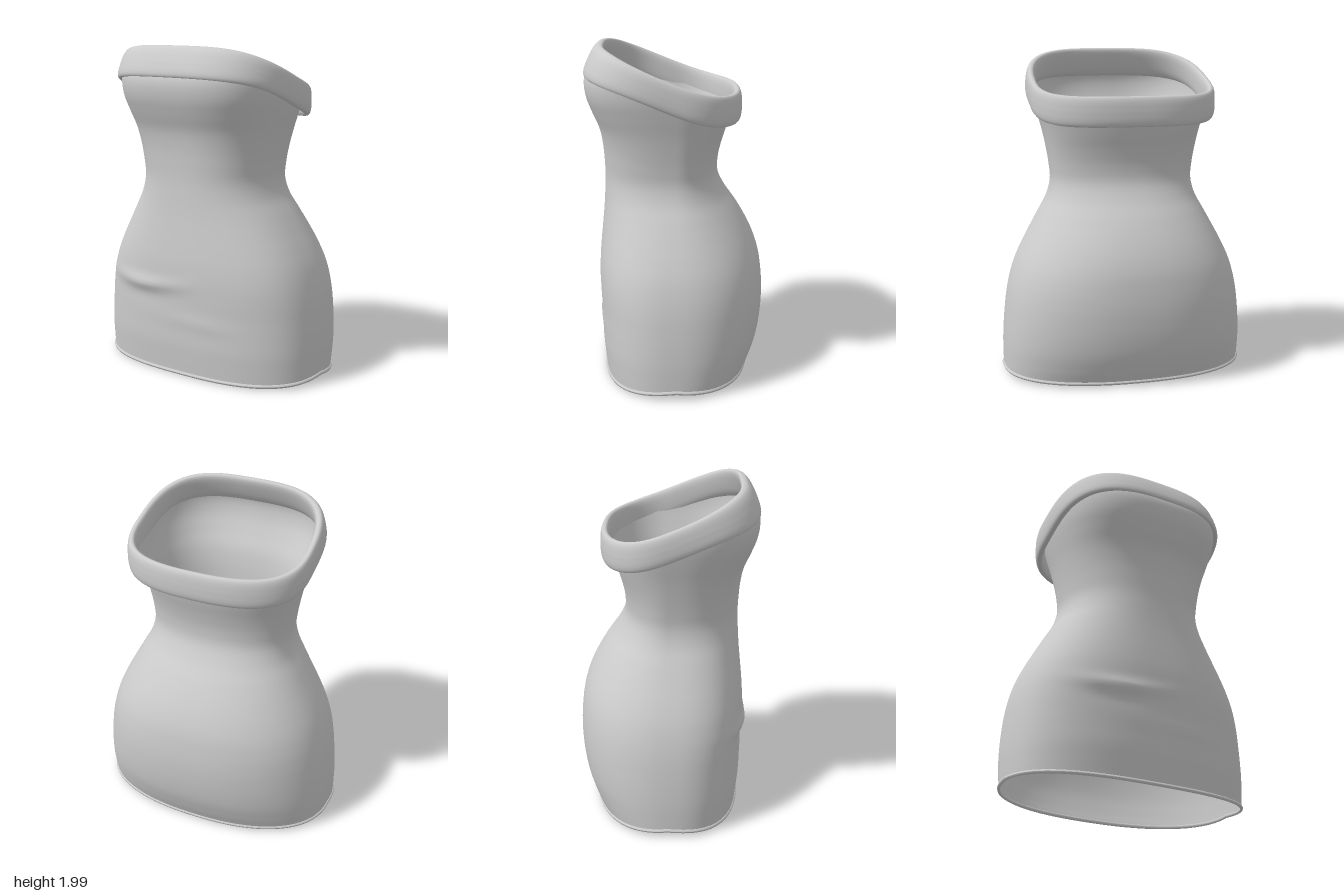
import * as THREE from 'three';

const AROUND = 96;
const material = new THREE.MeshStandardMaterial({ color: 0xcccccc, side: THREE.DoubleSide });

// Silhouette every 0.1 of height: [half width, front z, back z, squareness]
const PROFILE = [
  [0.75, 0.43, -0.44, 2.7], [0.752, 0.44, -0.48, 2.7], [0.752, 0.45, -0.515, 2.7], [0.747, 0.453, -0.535, 2.7],
  [0.738, 0.456, -0.545, 2.7], [0.725, 0.462, -0.547, 2.7], [0.704, 0.465, -0.54, 2.7], [0.673, 0.463, -0.525, 2.65],
  [0.628, 0.455, -0.493, 2.6], [0.575, 0.445, -0.445, 2.55], [0.52, 0.436, -0.385, 2.5], [0.465, 0.43, -0.315, 2.5],
  [0.44, 0.427, -0.268, 2.5], [0.447, 0.431, -0.265, 2.55], [0.463, 0.44, -0.285, 2.6], [0.483, 0.46, -0.315, 2.7],
  [0.508, 0.502, -0.34, 2.8], [0.53, 0.537, -0.36, 2.9], [0.54, 0.543, -0.37, 2.9], [0.54, 0.5, -0.37, 2.9],
  [0.54, 0.47, -0.37, 2.9],
];

// Catmull-Rom sample of the profile at height y
function profileAt(y) {
  const last = PROFILE.length - 1;
  const s = THREE.MathUtils.clamp(y * 10, 0, last - 0.001);
  const i = Math.floor(s), t = s - i;
  const row = k => PROFILE[THREE.MathUtils.clamp(k, 0, last)];
  return PROFILE[0].map((_, c) => {
    const [a, b, d, e] = [row(i - 1)[c], row(i)[c], row(i + 1)[c], row(i + 2)[c]];
    return b + 0.5 * t * (d - a + t * (2 * a - 5 * b + 4 * d - e + t * (3 * (b - d) + e - a)));
  });
}

const power = (v, p) => Math.sign(v) * Math.abs(v) ** p;

// Outline widest at z = 0: squarer at the front, rounder at the back
function outline([w, front, back, squareness], angle) {
  const c = Math.cos(angle), s = Math.sin(angle);
  const n = s > 0 ? squareness : squareness * 0.85;
  const depth = s > 0 ? front : -back;
  return { x: w * power(c, 2 / n), z: depth * power(s, 2 / n) };
}

// Surface from point(angle, v), closed around the body
function loft(name, rows, point) {
  const positions = [], index = [];
  for (let j = 0; j <= rows; j++) {
    for (let i = 0; i < AROUND; i++) {
      positions.push(...point((i / AROUND) * Math.PI * 2, j / rows));
      if (j === rows) continue;
      const a = j * AROUND + i, b = j * AROUND + ((i + 1) % AROUND);
      index.push(a, a + AROUND, b, b, a + AROUND, b + AROUND);
    }
  }
  const geometry = new THREE.BufferGeometry();
  geometry.setAttribute('position', new THREE.Float32BufferAttribute(positions, 3));
  geometry.setIndex(index);
  geometry.computeVertexNormals();
  const mesh = new THREE.Mesh(geometry, material);
  mesh.name = name;
  return mesh;
}

// Neckline: high at the front, sloping down to the back
const CUFF = [0.549, 0.487, -0.38, 2.9];
const cuffHeight = z => 1.725 + 0.39 * z + 0.227 * z * z - 0.55 * z * z * z;

// Hem: lowest at the front, rising to a peak at each side seam
const hemHeight = angle => 0.014 + 0.035 * (1 - Math.abs(Math.sin(angle)) ** 0.75) + 0.01 * Math.max(0, -Math.sin(angle));

const bump = (d, width) => Math.exp(-((d / width) ** 2));

// Soft cloth folds across the front
function folds(x, y) {
  const line = 0.55 + 0.25 * (x + 0.25) ** 2;
  return (0.022 * bump(y - line, 0.04) - 0.006 * bump(y - line + 0.08, 0.05)) * bump(x + 0.27, 0.25)
    + 0.006 * bump(y - 0.36 + 0.05 * x, 0.05) * bump(x - 0.15, 0.25);
}

function bodyPoint(angle, v) {
  const bottom = hemHeight(angle);
  const top = cuffHeight(outline(CUFF, angle).z) - 0.03;
  const y = THREE.MathUtils.lerp(bottom, top, v);
  const p = outline(profileAt(y), angle);
  if (Math.sin(angle) > 0) p.z += folds(p.x, y) * Math.sin(angle);
  return [p.x, y, p.z];
}

// Outward direction of the outline in plan
function outward(shape, angle) {
  const a = outline(shape, angle - 0.03), b = outline(shape, angle + 0.03);
  const dx = b.x - a.x, dz = b.z - a.z, length = Math.hypot(dx, dz);
  return { x: dz / length, z: -dx / length };
}

// Folded band, thicker and leaning inward at the front
function cuffPoint(angle, v) {
  const phi = v * Math.PI * 2;
  const p = outline(CUFF, angle), n = outward(CUFF, angle);
  const front = Math.max(0, n.z);
  const up = power(Math.sin(phi), 0.75);
  const out = (0.027 + 0.009 * front) * power(Math.cos(phi), 0.75) - 0.042 * up * front;
  return [p.x + n.x * out, cuffHeight(p.z) + 0.09 * up, p.z + n.z * out];
}

// Fine rolled edge along the bottom
function hemPoint(angle, v) {
  const phi = v * Math.PI * 2, y = hemHeight(angle);
  const shape = profileAt(y);
  const p = outline(shape, angle), n = outward(shape, angle);
  const out = 0.009 * Math.cos(phi);
  return [p.x + n.x * out, y + 0.012 * Math.sin(phi), p.z + n.z * out];
}

export function createModel() {
  const group = new THREE.Group();
  group.name = 'straplessDress';
  group.add(loft('dressBody', 90, bodyPoint), loft('necklineCuff', 24, cuffPoint), loft('hem', 8, hemPoint));
  return group;
}
